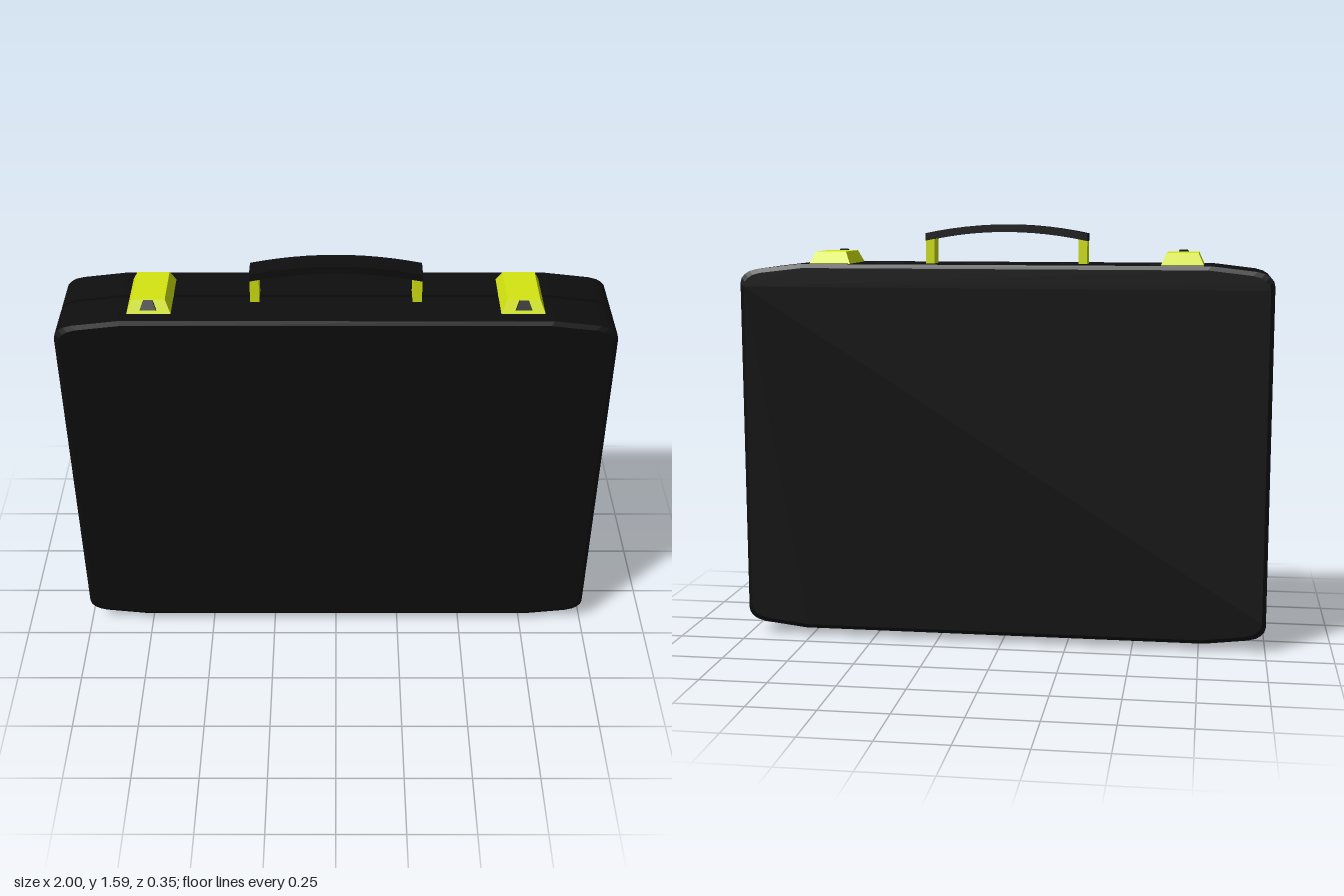
import * as THREE from 'three';

const black = new THREE.MeshStandardMaterial({ color: 0x0e0e0e, flatShading: true });
const yellow = new THREE.MeshStandardMaterial({ color: 0xd4e611, flatShading: true });

function add(parent, name, geometry, material, x = 0, y = 0, z = 0) {
  const mesh = new THREE.Mesh(geometry, material);
  mesh.name = name;
  mesh.position.set(x, y, z);
  parent.add(mesh);
  return mesh;
}

// Box standing on y = 0 whose top is scaled by (sx, sz)
function taperedBox(w, h, d, sx = 1, sz = 1) {
  const g = new THREE.BoxGeometry(w, h, d).translate(0, h / 2, 0);
  const p = g.attributes.position;
  for (let i = 0; i < p.count; i++) {
    if (p.getY(i) > h / 2) {
      p.setX(i, p.getX(i) * sx);
      p.setZ(i, p.getZ(i) * sz);
    }
  }
  g.computeVertexNormals();
  return g;
}

// Case body: one outline lofted through z, with edge bevels and a seam groove
function caseGeometry() {
  const halfW = 1, halfH = 0.7075;
  const corner = [[1, 0.635], [0.995, 0.654], [0.982, 0.669], [0.964, 0.68], [0.935, 0.688], [0.77, 0.7075]];
  const flip = (sx, sy) => corner.map(([x, y]) => [x * sx, y * sy]);
  const outline = [
    ...flip(1, 1), ...flip(-1, 1).reverse(),
    ...flip(-1, -1), ...flip(1, -1).reverse(),
  ];
  // z and inset of each cross-section
  const rings = [
    [-0.175, 0.015], [-0.167, 0], [-0.008, 0], [-0.008, 0.042],
    [0.008, 0.042], [0.008, 0], [0.167, 0], [0.175, 0.015],
  ];
  const n = outline.length;
  const point = (r, k) => {
    const [z, inset] = rings[r];
    const [x, y] = outline[k % n];
    return [x * (1 - inset / halfW), y * (1 - inset / halfH), z];
  };
  const pos = [];
  const tri = (...pts) => pts.forEach((p) => pos.push(...p));
  for (let r = 0; r < rings.length - 1; r++) {
    for (let k = 0; k < n; k++) {
      const a = point(r, k), b = point(r, k + 1), c = point(r + 1, k + 1), d = point(r + 1, k);
      tri(a, b, c);
      tri(a, c, d);
    }
  }
  // Front and back panels
  const last = rings.length - 1;
  for (let k = 1; k < n - 1; k++) {
    tri(point(last, 0), point(last, k), point(last, k + 1));
    tri(point(0, 0), point(0, k + 1), point(0, k));
  }
  const g = new THREE.BufferGeometry();
  g.setAttribute('position', new THREE.Float32BufferAttribute(pos, 3));
  g.computeVertexNormals();
  return g;
}

// Handle grip: a strip bent into a shallow arch
function gripGeometry() {
  const g = new THREE.BoxGeometry(0.616, 0.028, 0.084, 12, 1, 1);
  const p = g.attributes.position;
  for (let i = 0; i < p.count; i++) {
    const t = p.getX(i) / 0.308;
    p.setY(i, p.getY(i) + 0.033 * (1 - t * t));
  }
  g.computeVertexNormals();
  return g;
}

export function createModel() {
  const model = new THREE.Group();
  model.name = 'briefcase';

  add(model, 'caseBody', caseGeometry(), black, 0, 0.7375, 0);

  const handle = new THREE.Group();
  handle.name = 'handle';
  model.add(handle);
  add(handle, 'grip', gripGeometry(), black, 0, 1.545, 0);

  for (const side of [1, -1]) {
    const label = side > 0 ? 'left' : 'right';
    // Posts reach down into the seam groove
    add(handle, label + 'HandlePost', taperedBox(0.033, 0.132, 0.08), yellow, side * 0.291, 1.405, 0);

    // Latch with a slanted push button on its front slope
    const latch = new THREE.Group();
    latch.name = label + 'Latch';
    latch.position.set(side * 0.664, 1.444, 0);
    model.add(latch);
    add(latch, 'latchPlate', taperedBox(0.158, 0.046, 0.24, 0.74, 0.79), yellow);
    const button = add(latch, 'latchButton', taperedBox(0.058, 0.036, 0.026, 0.55, 1), black, 0, 0.015, 0.119);
    button.rotation.x = -0.56;

    // Foot: bevelled pad below a lug set into the groove
    const foot = new THREE.Group();
    foot.name = label + 'Foot';
    foot.position.set(side * 0.667, 0, 0);
    model.add(foot);
    const pad = add(foot, 'footPad', taperedBox(0.07, 0.022, 0.15, 0.6, 0.7), yellow, 0, 0.022, 0);
    pad.rotation.x = Math.PI;
    add(foot, 'footLug', taperedBox(0.07, 0.05, 0.15), yellow, 0, 0.022, 0);
  }
  return model;
}
